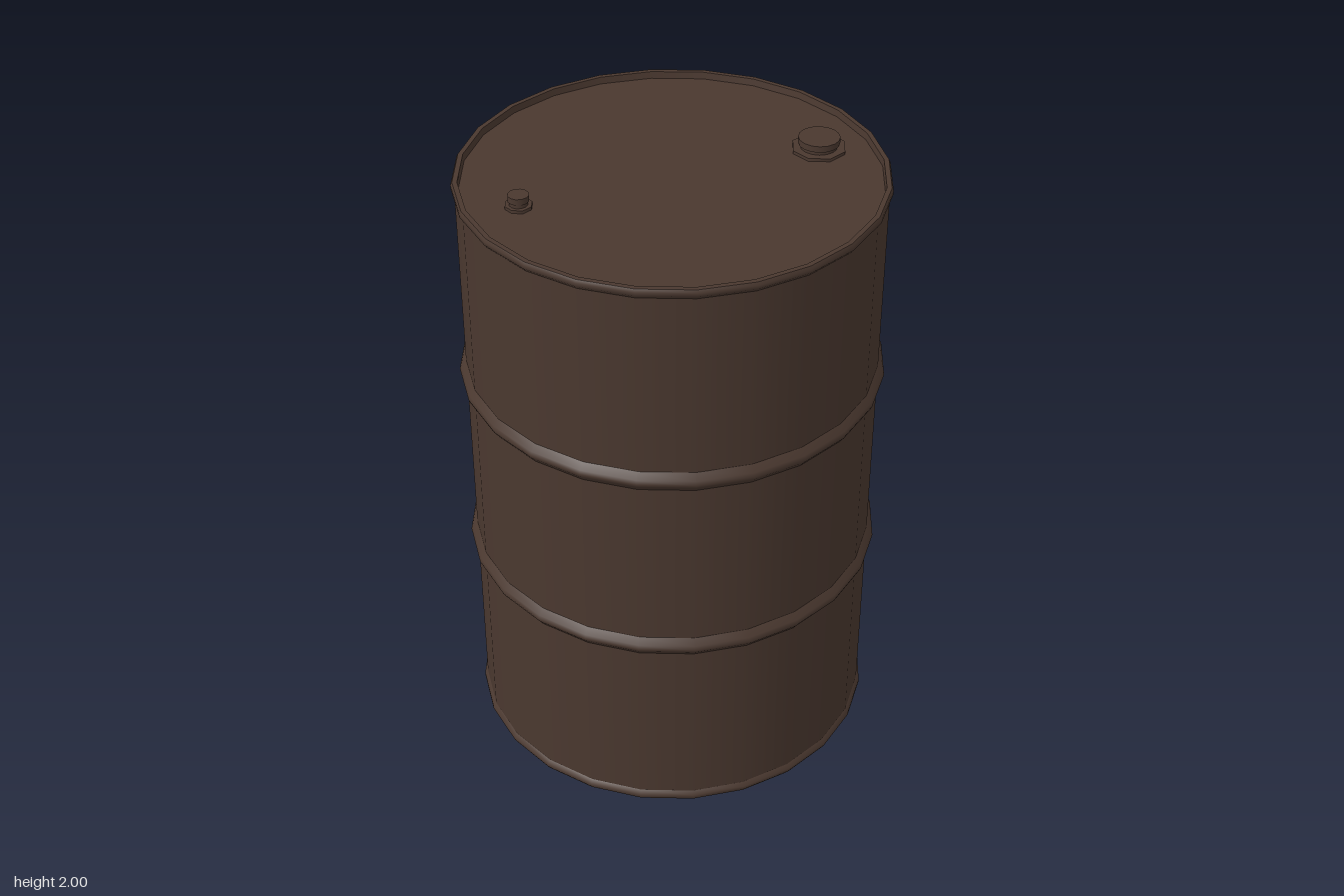
import * as THREE from 'three';

const SIDES = 24;
const R = 0.645;      // wall radius
const TOP = 1.98;     // top of the rim
const RECESS = 0.022; // depth of the end plates below the rims

export function createModel() {
  const barrel = new THREE.Group();
  barrel.name = 'barrel';
  const paint = new THREE.MeshStandardMaterial({ color: 0x4a382f });
  paint.name = 'dark brown paint';

  // Revolves a profile; points run upwards on the outside
  const lathe = (name, points, sides = SIDES, parent = barrel) => {
    const profile = points.map(([r, y]) => new THREE.Vector2(r, y));
    const mesh = new THREE.Mesh(new THREE.LatheGeometry(profile, sides), paint);
    mesh.name = name;
    parent.add(mesh);
    return mesh;
  };

  // Wall sections between the rims and the rolling hoops
  const hoops = [0.67, 1.315], half = 0.033;
  const edges = [0.03, hoops[0] - half, hoops[0] + half, hoops[1] - half, hoops[1] + half, TOP - 0.03];
  for (let i = 0; i < edges.length; i += 2) {
    lathe('wall', [[R, edges[i]], [R, edges[i + 1]]]);
  }

  // Raised rolling hoops
  for (const y of hoops) {
    lathe('rollingHoop', [[R, y - half], [0.661, y - 0.012], [0.666, y], [0.661, y + 0.012], [R, y + half]]);
  }

  // Rolled rims: outer bead, flat edge and inner wall, mirrored for the bottom
  const bead = [[R, TOP - 0.032], [0.655, TOP - 0.02], [0.655, TOP - 0.009], [0.65, TOP]];
  const edge = [[0.65, TOP], [0.635, TOP]];
  const inner = [[0.635, TOP], [0.632, TOP - RECESS]];
  const lid = [[0.632, TOP - RECESS], [0, TOP - RECESS]];
  const parts = { rimBead: bead, rimEdge: edge, rimInnerWall: inner, endPlate: lid };
  for (const [name, points] of Object.entries(parts)) {
    lathe(name + 'Top', points);
    lathe(name + 'Bottom', points.map(([r, y]) => [r, TOP - y]).reverse());
  }

  // Bungs: an octagonal flange with a plug standing on it
  const addBung = (name, x, flangeRadius, plugRadius, plugSides) => {
    const bung = new THREE.Group();
    bung.name = name;
    bung.position.set(x, TOP - RECESS, 0);
    const cylinder = (part, r, y0, y1, sides) => {
      const mesh = new THREE.Mesh(new THREE.CylinderGeometry(r, r, y1 - y0, sides), paint);
      mesh.name = part;
      mesh.position.y = (y0 + y1) / 2;
      bung.add(mesh);
    };
    cylinder('flange', flangeRadius, 0, 0.01, 8);
    cylinder('neck', plugRadius * 0.9, 0.01, 0.022, plugSides);
    cylinder('plug', plugRadius, 0.022, 0.042, plugSides);
    barrel.add(bung);
  };
  addBung('largeBung', 0.475, 0.085, 0.064, 16);
  addBung('smallBung', -0.477, 0.042, 0.032, 12);

  return barrel;
}
